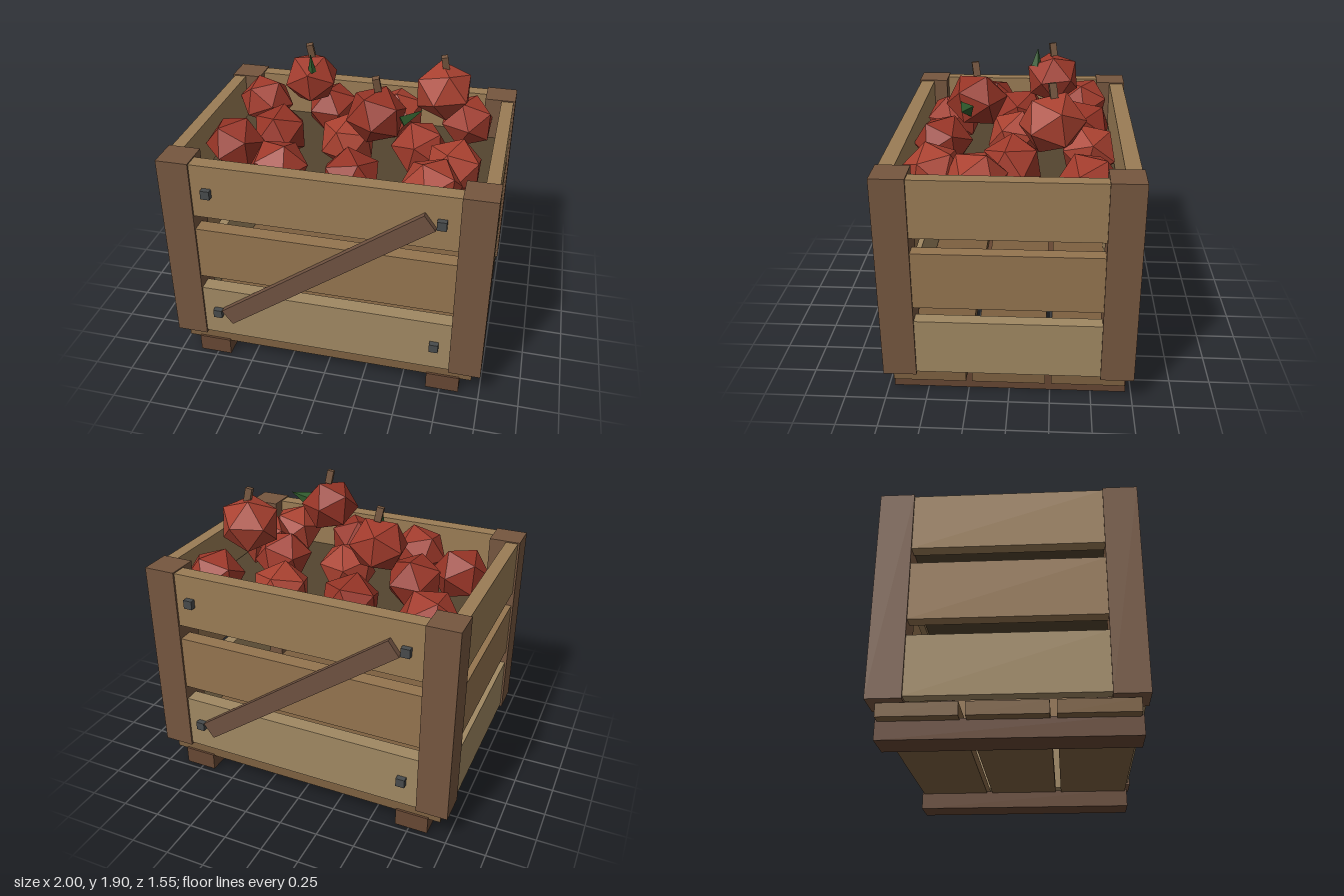
import * as THREE from 'three';

const paint = (color) => new THREE.MeshStandardMaterial({ color, flatShading: true });
const postWood = paint(0x75563f);
const darkWood = paint(0x664733);
const braceWood = paint(0x6e5140);
const floorWood = paint(0x7d6040);
const slatWoods = [0xa08862, 0x94744f, 0x9a7c55].map(paint);
const iron = paint(0x474a4b);
const shade = paint(0x54452f);
const reds = [0xa03a2b, 0x963426, 0xa94130].map(paint);
const leafGreen = paint(0x2f5a2c);

function add(parent, name, geometry, material, x, y, z) {
  const mesh = new THREE.Mesh(geometry, material);
  mesh.name = name;
  mesh.position.set(x, y, z);
  parent.add(mesh);
  return mesh;
}
const box = (parent, name, material, w, h, d, x, y, z) =>
  add(parent, name, new THREE.BoxGeometry(w, h, d), material, x, y, z);

// Three horizontal boards, facing +z at the given distance
function slatPanel(name, width, thickness, z) {
  const panel = new THREE.Group();
  panel.name = name;
  [0.377, 0.828, 1.28].forEach((y, i) =>
    box(panel, 'slat', slatWoods[i], width, 0.355, thickness, 0, y, z));
  return panel;
}

// Long side: slats, diagonal brace and four bolts
function longSide(name) {
  const side = slatPanel(name, 1.62, 0.095, 0.69);
  const brace = box(side, 'diagonalBrace', braceWood, 1.57, 0.115, 0.042, 0, 0.83, 0.754);
  brace.rotation.z = 0.631;
  for (const x of [-0.7, 0.7])
    for (const y of [0.38, 1.28]) box(side, 'bolt', iron, 0.056, 0.056, 0.05, x, y, 0.748);
  return side;
}

function createCrate() {
  const crate = new THREE.Group();
  crate.name = 'crate';

  // Corner posts
  for (const x of [-0.9, 0.9])
    for (const z of [-0.65, 0.65])
      box(crate, 'cornerPost', postWood, 0.2, 1.28, 0.2, x, 0.825, z);

  // Walls
  const front = longSide('frontSide');
  const back = longSide('backSide');
  back.rotation.y = Math.PI;
  const left = slatPanel('leftSide', 1.12, 0.08, 0.948);
  left.rotation.y = Math.PI / 2;
  const right = slatPanel('rightSide', 1.12, 0.08, 0.948);
  right.rotation.y = -Math.PI / 2;
  crate.add(front, back, left, right);

  // Floor planks on two runners
  for (const z of [-0.48, 0, 0.48])
    box(crate, 'floorPlank', floorWood, 1.89, 0.078, 0.443, 0, 0.143, z);
  for (const x of [-0.765, 0.765])
    box(crate, 'runner', darkWood, 0.21, 0.115, 1.43, x, 0.0575, 0);

  // Tray that carries the fruit
  box(crate, 'fruitTray', shade, 1.78, 0.06, 1.28, 0, 1.15, 0);
  return crate;
}

function createFruit() {
  const fruit = new THREE.Group();
  fruit.name = 'fruit';
  let seed = 7;
  const random = () => (seed = (seed * 16807) % 2147483647) / 2147483647;
  const geometry = new THREE.IcosahedronGeometry(1, 0);

  const apple = (x, y, z, r, i) => {
    const mesh = add(fruit, 'apple', geometry, reds[i % 3], x, y, z);
    mesh.scale.set(r, r * 0.93, r);
    mesh.rotation.set((random() - 0.5) * 0.5, random() * 6.28, (random() - 0.5) * 0.5);
    return mesh;
  };

  // Lower layer, x and z of each apple
  [[-0.72, -0.45], [-0.23, -0.44], [0.22, -0.46], [0.7, -0.45],
    [-0.48, -0.01], [-0.02, 0], [0.45, 0], [-0.71, 0.21],
    [0.69, 0.2], [-0.35, 0.44], [0.11, 0.46], [0.59, 0.45]]
    .forEach(([x, z], i) => apple(x, 1.34, z, 0.192, i));

  // Top layer with stems
  [[-0.32, 1.645, -0.23, 0.185, 1.835], [0.21, 1.655, 0.23, 0.188, 1.85], [0.55, 1.64, -0.235, 0.2, 1.83]]
    .forEach(([x, y, z, r, stemY], i) => {
      const top = apple(x, y, z, r, i);
      top.rotation.set(0.08, 0.15 + i * 0.9, 0.06);
      const stem = box(fruit, 'stem', postWood, 0.042, 0.085, 0.042, x, stemY, z);
      stem.rotation.set(0.1, 0.2, 0.17);
    });

  // Leaves
  const leafGeometry = new THREE.ConeGeometry(0.045, 0.13, 4);
  const upright = add(fruit, 'leaf', leafGeometry, leafGreen, -0.29, 1.79, -0.125);
  upright.scale.set(0.6, 0.9, 0.8);
  upright.rotation.set(-0.1, 0.3, 0.1);
  const flat = add(fruit, 'leaf', leafGeometry, leafGreen, 0.43, 1.68, 0.25);
  flat.scale.set(1.2, 1.1, 0.8);
  flat.rotation.set(0.5, 0.6, -1.4);
  return fruit;
}

export function createModel() {
  const model = new THREE.Group();
  model.name = 'fruitCrate';
  model.add(createCrate(), createFruit());
  return model;
}
